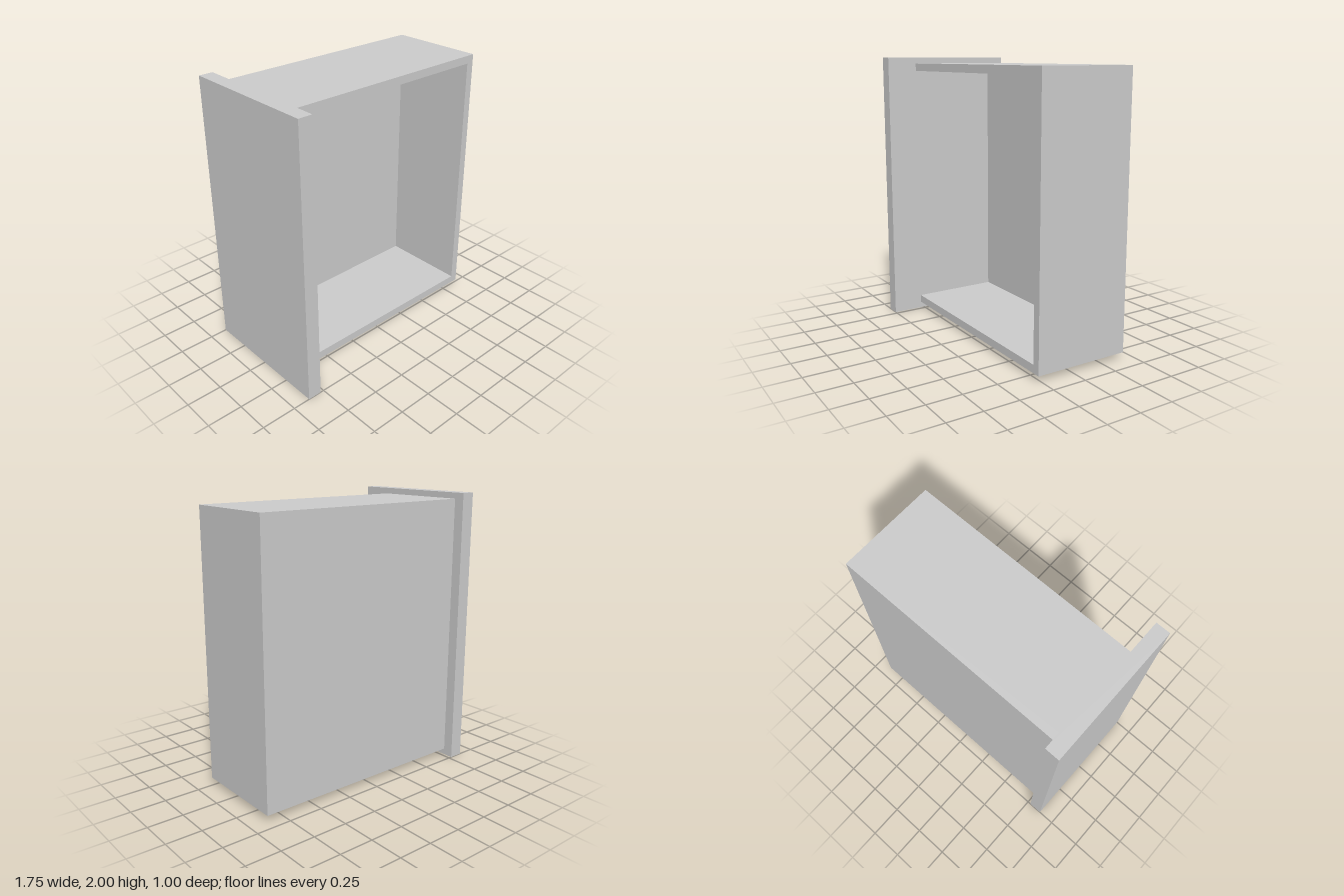
import * as THREE from 'three';

const material = new THREE.MeshStandardMaterial({ color: 0xcccccc });

// Box given by its lower and upper corner
function slab(name, [x0, y0, z0], [x1, y1, z1]) {
  const mesh = new THREE.Mesh(new THREE.BoxGeometry(x1 - x0, y1 - y0, z1 - z0), material);
  mesh.position.set((x0 + x1) / 2, (y0 + y1) / 2, (z0 + z1) / 2);
  mesh.name = name;
  return mesh;
}

export function createModel() {
  const group = new THREE.Group();
  group.name = 'drawer';

  const left = -0.775, right = 0.875;   // tray extent along x
  const low = 0.045, high = 1.957;      // tray extent along y
  const back = -0.425, open = 0.275;    // tray extent along z
  const t = 0.057;                      // board thickness

  // Wide face panel, larger than the tray
  group.add(slab('facePanel', [-0.875, 0, -0.5], [left, 2, 0.5]));

  // Tray base, closing the far side
  group.add(slab('trayBase', [left, low, back], [right, high, back + t]));

  // Two side walls and the end wall in one U-shaped piece
  const u = new THREE.Shape([
    [left, low], [right, low], [right, high], [left, high],
    [left, high - t], [right - t, high - t], [right - t, low + t], [left, low + t],
  ].map(([x, y]) => new THREE.Vector2(x, y)));
  const walls = new THREE.Mesh(
    new THREE.ExtrudeGeometry(u, { depth: open - back - t, bevelEnabled: false }), material);
  walls.position.z = back + t;
  walls.name = 'trayWalls';
  group.add(walls);

  return group;
}
